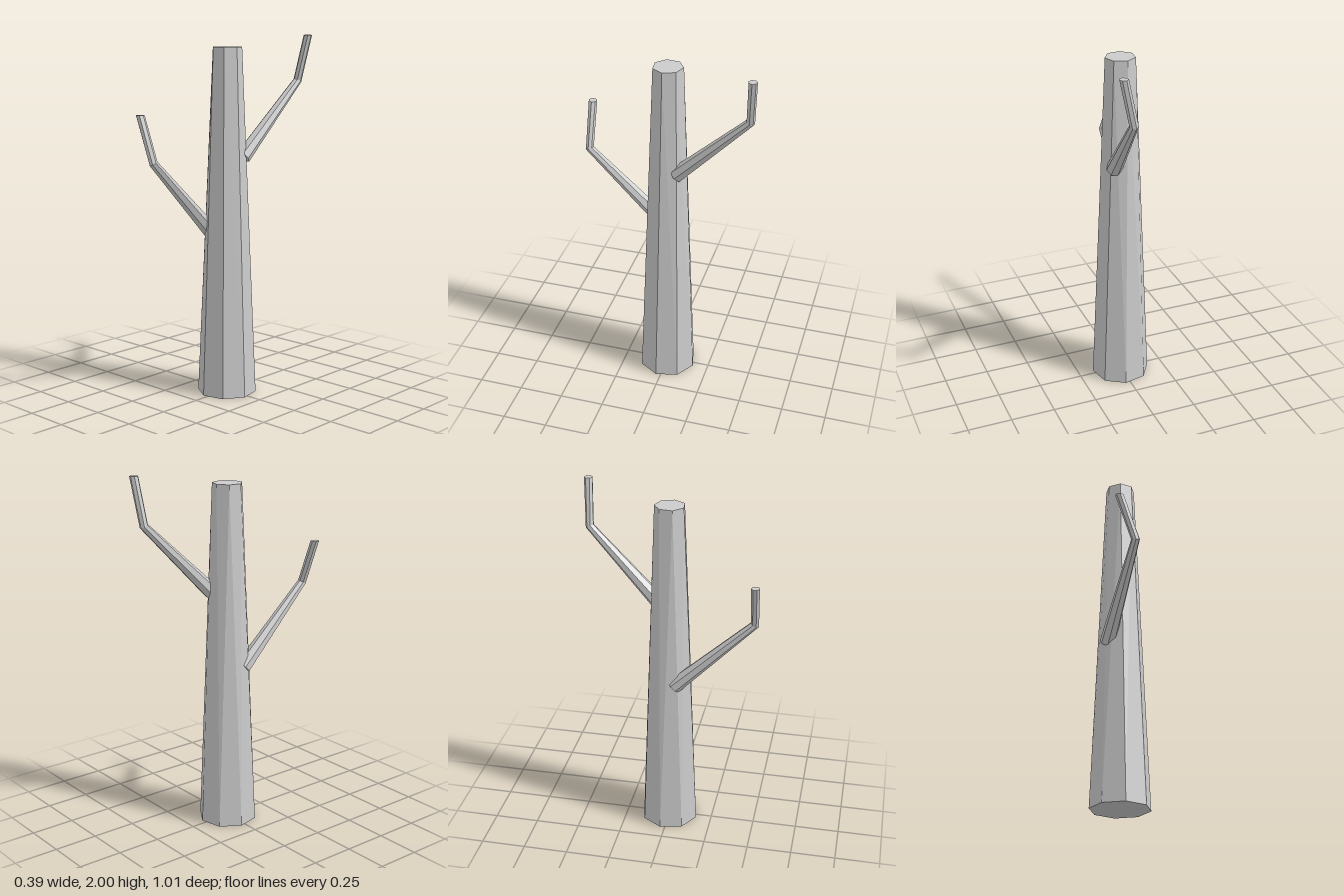
import * as THREE from 'three';
import { ConvexGeometry } from 'three/addons/geometries/ConvexGeometry.js';

const V = (x, y, z) => new THREE.Vector3(x, y, z);
const material = new THREE.MeshStandardMaterial({ color: 0xcccccc, flatShading: true });

// Horizontal polygon of corner points; the angle runs from +x towards +z
function polygon(sides, radius, y, startDegrees) {
  return Array.from({ length: sides }, (_, i) => {
    const a = THREE.MathUtils.degToRad(startDegrees) + (i / sides) * Math.PI * 2;
    return V(radius * Math.cos(a), y, radius * Math.sin(a));
  });
}

// Closed faceted tube through a few rings, each { at, radius, normal }
function limbGeometry(rings, sides = 7) {
  const points = [];
  const index = [];
  for (const { at, radius, normal } of rings) {
    const n = normal.clone().normalize();
    const u = V(1, 0, 0).addScaledVector(n, -n.x).normalize();
    const v = n.clone().cross(u);
    for (let j = 0; j < sides; j++) {
      const a = (j / sides) * Math.PI * 2;
      points.push(at.clone()
        .addScaledVector(u, radius * Math.cos(a))
        .addScaledVector(v, radius * Math.sin(a)));
    }
  }
  const last = (rings.length - 1) * sides;
  for (let j = 0; j < sides; j++) {
    const k = (j + 1) % sides;
    for (let r = 0; r < last; r += sides) {
      index.push(r + j, r + k, r + sides + k, r + j, r + sides + k, r + sides + j);
    }
  }
  // End caps
  for (let j = 1; j < sides - 1; j++) {
    index.push(0, j + 1, j, last, last + j, last + j + 1);
  }
  const indexed = new THREE.BufferGeometry().setFromPoints(points);
  indexed.setIndex(index);
  const geometry = indexed.toNonIndexed();
  geometry.computeVertexNormals();
  return geometry;
}

// Branch that rises outward to a knee, then turns upright to a level tip
function branch(name, base, knee, tip) {
  const lower = knee.clone().sub(base).normalize();
  const upper = tip.clone().sub(knee).normalize();
  const mesh = new THREE.Mesh(limbGeometry([
    { at: base, radius: 0.044, normal: lower },
    { at: knee, radius: 0.024, normal: lower.clone().add(upper) },
    { at: tip, radius: 0.024, normal: V(0, 1, 0) },
  ]), material);
  mesh.name = name;
  return mesh;
}

export function createModel() {
  const tree = new THREE.Group();
  tree.name = 'bareTree';

  // Tapered trunk: eight corners at the foot, seven at the cut top
  const trunk = new THREE.Mesh(new ConvexGeometry([
    ...polygon(8, 0.165, 0, 9.5),
    ...polygon(7, 0.083, 1.94, 6),
  ]), material);
  trunk.name = 'trunk';
  tree.add(trunk);

  tree.add(branch('backBranch', V(0.06, 1.34, -0.065), V(0.113, 1.745, -0.465), V(0.173, 2, -0.48)));
  tree.add(branch('frontBranch', V(-0.088, 0.92, 0.04), V(-0.083, 1.34, 0.476), V(-0.175, 1.59, 0.481)));
  return tree;
}
